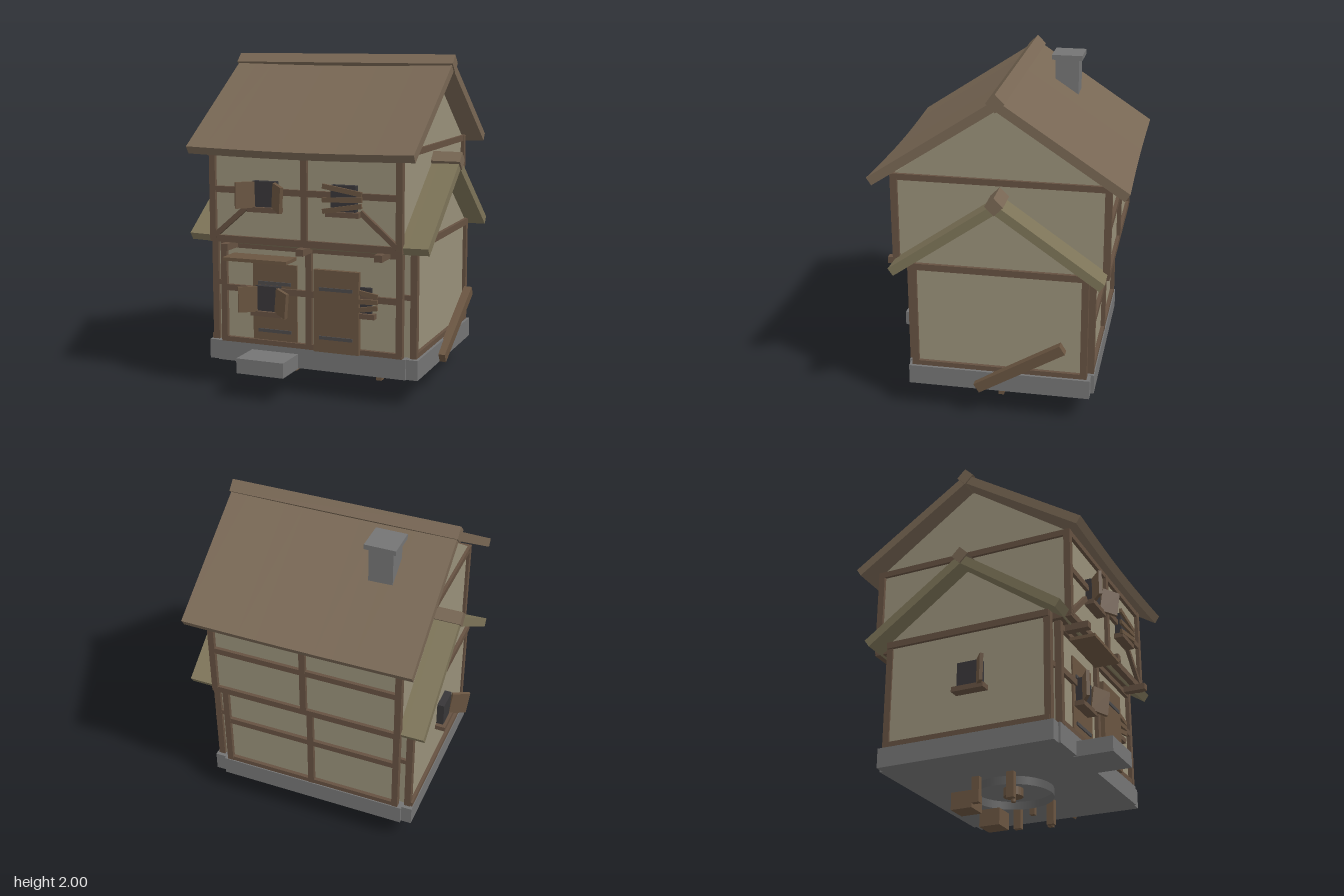
import * as THREE from 'three';

const mat = (color) => new THREE.MeshStandardMaterial({ color, flatShading: true });
const M = {
  wall: mat(0x989079), beam: mat(0x655141), roof: mat(0x786754), wingRoof: mat(0x7d7458),
  stone: mat(0x747474), dark: mat(0x383638), wood: mat(0x6a5541), iron: mat(0x4c4a4a),
};
const Z0 = -0.01; // depth centre of the house

function add(parent, name, geo, material, x = 0, y = 0, z = 0) {
  const m = new THREE.Mesh(geo, material);
  m.name = name;
  m.position.set(x, y, z);
  parent.add(m);
  return m;
}

// box given by its limits
function box(parent, name, material, x0, x1, y0, y1, z0, z1) {
  return add(parent, name, new THREE.BoxGeometry(x1 - x0, y1 - y0, z1 - z0), material,
    (x0 + x1) / 2, (y0 + y1) / 2, (z0 + z1) / 2);
}

// rectangular bar between two points
function bar(parent, name, material, a, b, w, d) {
  const p = new THREE.Vector3(...a), q = new THREE.Vector3(...b);
  const m = add(parent, name, new THREE.BoxGeometry(w, p.distanceTo(q), d), material);
  m.position.copy(p).add(q).multiplyScalar(0.5);
  m.quaternion.setFromUnitVectors(new THREE.Vector3(0, 1, 0), q.sub(p).normalize());
  return m;
}

// gabled wall block extruded along x
function gableBlock(parent, name, hx, hz, y0, y1, apex) {
  const s = new THREE.Shape([[-hz, y0], [hz, y0], [hz, y1], [0, apex], [-hz, y1]]
    .map(([x, y]) => new THREE.Vector2(x, y)));
  const g = new THREE.ExtrudeGeometry(s, { depth: 2 * hx, bevelEnabled: false });
  g.translate(0, 0, -hx).rotateY(Math.PI / 2);
  add(parent, name, g, M.wall, 0, 0, Z0);
}

// two slightly sagging roof slabs and a diamond ridge beam
function roof(parent, name, material, x0, x1, ridgeY, eaveY, reach, beamY, over) {
  const len = Math.hypot(reach, ridgeY - eaveY), a = Math.atan2(ridgeY - eaveY, reach);
  const w = x1 - x0, t = 0.053;
  for (const s of [1, -1]) {
    const g = new THREE.BoxGeometry(w, t, len, 12, 1, 1);
    g.translate(0, -t / 2, s * len / 2);
    const p = g.attributes.position;
    for (let i = 0; i < p.count; i++) {
      p.setY(i, p.getY(i) - 0.015 * Math.cos(Math.PI * p.getX(i) / w));
    }
    g.computeVertexNormals();
    add(parent, name + 'Slope', g, material, (x0 + x1) / 2, ridgeY, Z0).rotation.x = s * a;
  }
  const ridge = add(parent, name + 'Ridge', new THREE.BoxGeometry(w + over, 0.075, 0.075), M.roof,
    (x0 + x1) / 2, beamY, Z0);
  ridge.rotation.x = Math.PI / 4;
}

// window facing +z, with open shutters or nailed boards
function makeWindow(parent, name, x, y, z, { turn = 0, left, right, boards } = {}) {
  const g = new THREE.Group();
  g.name = name;
  g.position.set(x, y, z);
  g.rotation.y = turn;
  parent.add(g);
  box(g, 'glass', M.dark, -0.075, 0.075, -0.075, 0.08, -0.03, 0.02);
  box(g, 'sill', M.beam, -0.1, 0.1, -0.1, -0.07, -0.03, 0.04);
  for (const [side, swing, tilt] of [[-1, left, 0], [1, right, -0.14]]) {
    if (swing === undefined) continue;
    const hinge = new THREE.Group();
    hinge.name = 'shutter';
    hinge.position.set(side * 0.068, 0, 0.015);
    hinge.rotation.set(0, -side * swing, tilt);
    box(hinge, 'shutterPanel', M.wood, Math.min(0, side * 0.115), Math.max(0, side * 0.115),
      -0.075, 0.078, 0, 0.02);
    g.add(hinge);
  }
  if (boards) {
    [[0.055, -0.16], [0.0, 0.04], [-0.05, 0.17]].forEach(([by, r]) => {
      add(g, 'board', new THREE.BoxGeometry(0.24, 0.028, 0.015), M.wood, 0, by, 0.035).rotation.z = r;
    });
  }
}

export function createModel() {
  const house = new THREE.Group();
  house.name = 'timberHouse';

  // stone base and front step
  box(house, 'foundation', M.stone, -0.595, 0.6, 0.16, 0.28, -0.575, 0.548);
  box(house, 'wingFoundation', M.stone, -0.66, 0.67, 0.16, 0.278, -0.556, 0.535);
  box(house, 'step', M.stone, -0.37, -0.07, 0.155, 0.245, 0.53, 0.762);

  // plaster walls
  box(house, 'lowerWall', M.wall, -0.56, 0.56, 0.27, 0.93, -0.545, 0.525);
  gableBlock(house, 'wingWall', 0.635, 0.505, 0.27, 0.95, 1.315);
  gableBlock(house, 'upperWall', 0.58, 0.615, 0.92, 1.47, 1.9);

  // roofs
  roof(house, 'mainRoof', M.roof, -0.69, 0.7, 1.967, 1.475, 0.745, 1.947, 0.015);
  roof(house, 'wingRoof', M.wingRoof, -0.737, 0.75, 1.385, 0.945, 0.627, 1.372, 0.02);

  // timber framing on front and back
  for (const s of [1, -1]) {
    const lo = Z0 + s * 0.54, up = Z0 + s * 0.618, wg = Z0 + s * 0.506;
    const across = (name, x0, x1, y0, y1, z, d = 0.018) =>
      box(house, name, M.beam, x0, x1, y0, y1, z - d, z + d);
    for (const x of [-0.552, 0, 0.56]) across('lowerPost', x - 0.019, x + 0.019, 0.28, 0.92, lo, 0.02);
    for (const [y0, y1] of [[0.28, 0.31], [0.595, 0.632], [0.86, 0.892]]) across('lowerRail', -0.57, 0.578, y0, y1, lo);
    for (const x of [-0.58, 0.005, 0.582]) across('upperPost', x - 0.019, x + 0.019, 0.92, 1.47, up, 0.02);
    for (const [y0, y1] of [[0.905, 0.945], [1.2, 1.237], [1.435, 1.47]]) across('upperRail', -0.598, 0.6, y0, y1, up);
    for (const x of [-0.625, 0.636]) across('wingPost', x - 0.02, x + 0.02, 0.28, 0.94, wg, 0.02);
    across('wingRail', -0.64, 0.65, 0.62, 0.65, wg);
  }
  for (const s of [1, -1]) {
    bar(house, 'brace', M.beam, [s * 0.57, 0.94, 0.614], [s * 0.35, 1.13, 0.614], 0.03, 0.03);
  }

  // framing across the gable ends
  for (const s of [1, -1]) {
    for (const [x, hz, ys] of [[0.58, 0.635, [[0.905, 0.945], [1.435, 1.472]]],
      [0.638, 0.52, [[0.28, 0.31], [0.905, 0.945]]]]) {
      for (const [y0, y1] of ys) {
        add(house, 'gableRail', new THREE.BoxGeometry(0.036, y1 - y0, 2 * hz), M.beam, s * x, (y0 + y1) / 2, Z0);
      }
    }
  }

  // floor under the overhanging storey
  box(house, 'upperFloor', M.beam, -0.58, 0.58, 0.905, 0.925, Z0 - 0.615, Z0 + 0.615);
  for (const x of [-0.478, 0.004, 0.482]) box(house, 'joistEnd', M.beam, x - 0.023, x + 0.023, 0.865, 0.905, 0.5, 0.688);
  const awning = box(house, 'awning', M.wood, -0.475, -0.07, 0.812, 0.832, 0.56, 0.715);
  awning.rotation.y = 0.01;

  // doors with iron straps
  for (const [x0, x1, y0, y1, z] of [[-0.365, -0.08, 0.29, 0.775, 0.535], [0.04, 0.322, 0.28, 0.77, 0.568]]) {
    box(house, 'door', M.wood, x0, x1, y0, y1, z - 0.03, z);
    for (const y of [0.368, 0.658]) box(house, 'doorStrap', M.iron, x0 + 0.037, x1 - 0.037, y - 0.01, y + 0.01, z, z + 0.008);
  }

  // windows
  makeWindow(house, 'upperLeftWindow', -0.235, 1.2, 0.625, { left: 0.75, right: 0.75 });
  makeWindow(house, 'upperRightWindow', 0.255, 1.2, 0.625, { boards: true });
  makeWindow(house, 'lowerLeftWindow', -0.255, 0.565, 0.555, { left: 0.6, right: 0.6 });
  makeWindow(house, 'lowerRightWindow', 0.315, 0.6, 0.525, { boards: true });
  makeWindow(house, 'sideWindow', -0.66, 0.625, 0.03, { turn: -Math.PI / 2, right: 0.95 });

  // chimney
  box(house, 'chimneyShaft', M.stone, -0.42, -0.275, 1.6, 1.955, -0.335, -0.19);
  box(house, 'chimneyCap', M.stone, -0.442, -0.255, 1.955, 1.985, -0.358, -0.17);

  // plank leaning on the side wall
  bar(house, 'leaningPlank', M.wood, [0.685, 0.185, 0.115], [0.705, 0.5, -0.4], 0.05, 0.062);

  // hearth ring and furniture below the floor
  const ring = add(house, 'hearthRing', new THREE.CylinderGeometry(0.243, 0.243, 0.05, 32, 1, true),
    new THREE.MeshStandardMaterial({ color: 0x5a5a5a, side: THREE.DoubleSide }), 0.003, 0.135, Z0);
  ring.castShadow = false;
  add(house, 'hearthPlate', new THREE.CylinderGeometry(0.06, 0.06, 0.05, 20), M.wood, 0, 0.135, Z0);
  add(house, 'hearthHub', new THREE.CylinderGeometry(0.015, 0.015, 0.08, 10), M.wood, 0.003, 0.12, Z0);
  for (const x of [-0.283, 0.29]) {
    for (const z of [-0.112, 0.108]) box(house, 'tableLeg', M.wood, x - 0.018, x + 0.018, 0.005, 0.165, z - 0.024, z + 0.024);
  }
  for (const x of [0.285, 0.56]) box(house, 'peg', M.wood, x - 0.016, x + 0.016, 0.08, 0.165, Z0 - 0.016, Z0 + 0.016);
  for (const x of [-0.172, 0.198]) box(house, 'crate', M.wood, x - 0.068, x + 0.068, 0, 0.105, -0.3, -0.165);

  return house;
}
